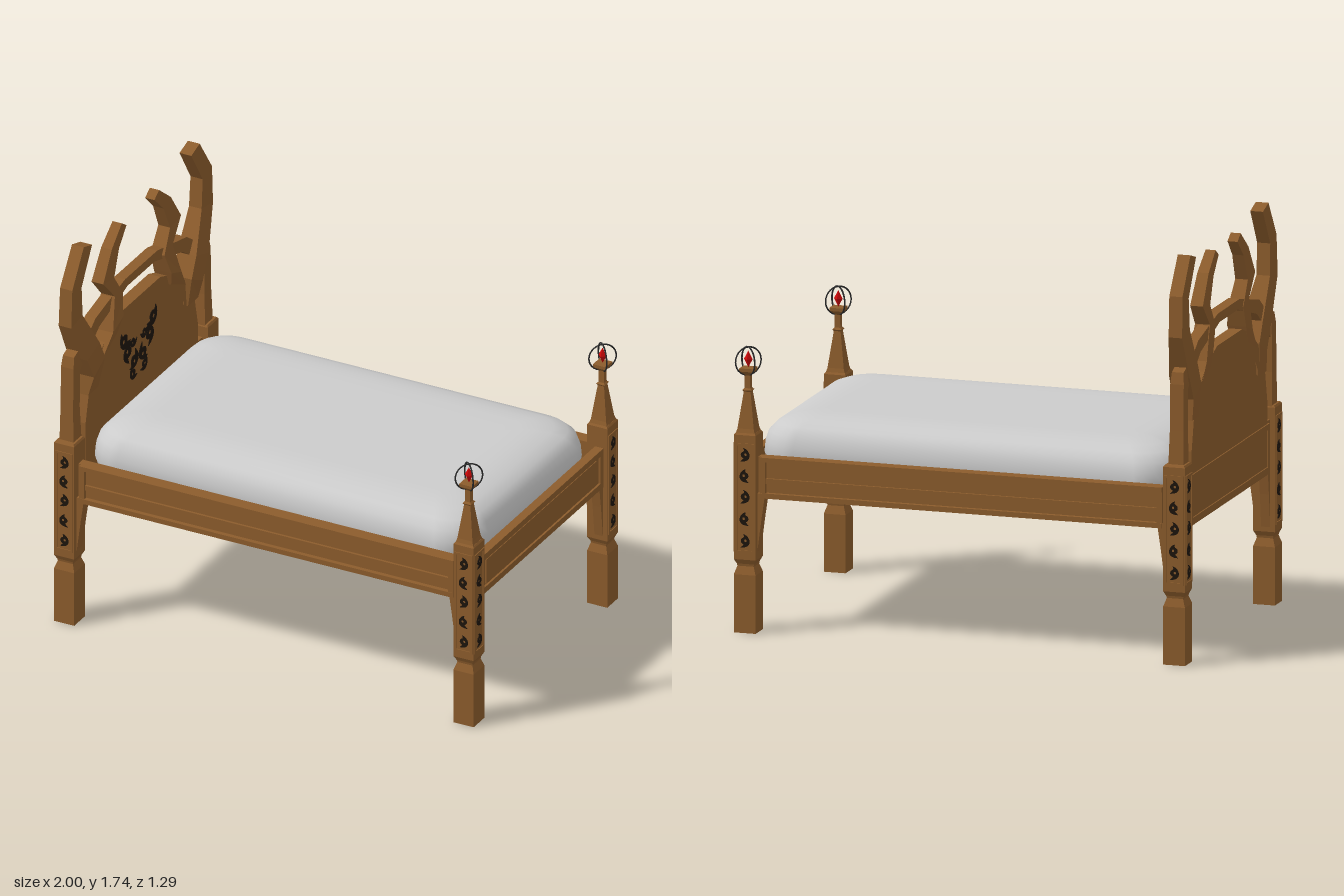
import * as THREE from 'three';

const mat = (color, flatShading = true) => new THREE.MeshStandardMaterial({ color, flatShading });
const WOOD = mat(0x8c5c2c), DARK = mat(0x1c140c), RED = mat(0xcc0808), METAL = mat(0x2a2a2a, false);
const CLOTH = mat(0xcccccc, false);
const V2 = (p) => new THREE.Vector2(p[0], p[1]);

function add(parent, name, geo, material = WOOD, pos = [0, 0, 0]) {
  const mesh = new THREE.Mesh(geo, material);
  mesh.name = name;
  mesh.position.set(...pos);
  parent.add(mesh);
  return mesh;
}

// Box given by its min and max on each axis
function box(parent, name, x0, x1, y0, y1, z0, z1) {
  return add(parent, name, new THREE.BoxGeometry(x1 - x0, y1 - y0, z1 - z0), WOOD,
    [(x0 + x1) / 2, (y0 + y1) / 2, (z0 + z1) / 2]);
}

const extrude = (shape, depth) => new THREE.ExtrudeGeometry(shape, { depth, bevelEnabled: false, curveSegments: 5 });

// Outline in the z-y plane, extruded from x0 to x1
function slabX(points, x0, x1, hole) {
  const shape = new THREE.Shape(points.map(([z, y]) => new THREE.Vector2(-z, y)));
  if (hole) shape.holes.push(new THREE.Path(hole.map(([z, y]) => new THREE.Vector2(-z, y))));
  return extrude(shape, x1 - x0).rotateY(Math.PI / 2).translate(x0, 0, 0);
}

const mirrored = (half) => [...half, ...half.slice().reverse().map(([z, y]) => [-z, y])];

// Flat rectangular border facing +z
function border(w, h, t, depth) {
  const rect = (a, b) => [[-a, -b], [a, -b], [a, b], [-a, b]].map(V2);
  const shape = new THREE.Shape(rect(w / 2, h / 2));
  shape.holes.push(new THREE.Path(rect(w / 2 - t, h / 2 - t)));
  return extrude(shape, depth);
}

// Square turned profile of [half width, y]
function squareTurning(profile) {
  const pts = profile.map(([h, y]) => new THREE.Vector2(h * Math.SQRT2, y));
  return new THREE.LatheGeometry(pts, 4, Math.PI / 4);
}

// Skin rings of equal length, closing both ends with a fan
function loft(rings, flip = false) {
  const n = rings[0].length, pos = rings.flat(2), idx = [];
  const tri = (a, b, c) => (flip ? idx.push(a, c, b) : idx.push(a, b, c));
  for (let r = 0; r < rings.length - 1; r++) for (let i = 0; i < n; i++) {
    const a = r * n + i, b = r * n + (i + 1) % n;
    tri(a, b, b + n);
    tri(a, b + n, a + n);
  }
  const last = (rings.length - 1) * n;
  for (let i = 1; i < n - 1; i++) {
    tri(0, i + 1, i);
    tri(last, last + i, last + i + 1);
  }
  const geo = new THREE.BufferGeometry();
  geo.setAttribute('position', new THREE.Float32BufferAttribute(pos, 3));
  geo.setIndex(idx);
  geo.computeVertexNormals();
  return geo;
}

// Horn sections: outer z, y, inner z, y, back x, front x
const horn = (sections, s) => loft(sections.map(([zo, yo, zi, yi, xb, xf]) =>
  [[xb, yo, s * zo], [xf, yo, s * zo], [xf, yi, s * zi], [xb, yi, s * zi]]), s < 0);

// Curled leaf with a pierced eye
function leafShape(s) {
  const shape = new THREE.Shape();
  shape.moveTo(-0.018 * s, -0.028);
  shape.quadraticCurveTo(0.026 * s, -0.028, 0.021 * s, 0.004);
  shape.quadraticCurveTo(0.014 * s, 0.026, -0.006 * s, 0.03);
  shape.quadraticCurveTo(0.004 * s, 0.018, -0.012 * s, 0.012);
  shape.quadraticCurveTo(-0.024 * s, -0.004, -0.004 * s, -0.014);
  shape.closePath();
  const eye = new THREE.Path();
  eye.absarc(0.004 * s, 0.002, 0.006, 0, Math.PI * 2);
  shape.holes.push(eye);
  return shape;
}

function post(sx, sz) {
  const g = new THREE.Group();
  g.name = sx > 0 ? 'footPost' : 'headPost';
  g.position.set(sx * 0.948, 0, sz * 0.595);
  add(g, 'postBody', squareTurning([[0, 0], [0.048, 0], [0.048, 0.25], [0.036, 0.285], [0.038, 0.295],
    [0.048, 0.315], [0.048, 0.85], [0.042, 0.858], [0, 0.858]]));
  // Carved panels on the two outward faces
  for (const angle of [sz > 0 ? 0 : Math.PI, sx * Math.PI / 2]) {
    const face = new THREE.Group();
    face.name = 'carvedPanel';
    face.rotation.y = angle;
    add(face, 'panelBorder', border(0.084, 0.47, 0.01, 0.004), WOOD, [0, 0.58, 0.048]);
    [0.765, 0.675, 0.585, 0.49, 0.395].forEach((y, i) =>
      add(face, 'leafCarving', extrude(leafShape(i % 2 ? -1 : 1), 0.003), DARK, [0, y, 0.048]));
    g.add(face);
  }
  if (sx > 0) {
    // Spire, cap, gem and crossed rings
    add(g, 'spire', squareTurning([[0.042, 0.855], [0.036, 0.875], [0.015, 1.03], [0.02, 1.037], [0.013, 1.045],
      [0.012, 1.1], [0.03, 1.118], [0.03, 1.132], [0, 1.132]]));
    add(g, 'gem', new THREE.OctahedronGeometry(1), RED, [0, 1.168, 0]).scale.set(0.019, 0.036, 0.019);
    for (const a of [Math.PI / 4, -Math.PI / 4])
      add(g, 'ring', new THREE.TorusGeometry(0.06, 0.0035, 6, 28), METAL, [0, 1.16, 0]).rotation.y = a;
  }
  return g;
}

function headboard() {
  const g = new THREE.Group();
  g.name = 'headboard';
  // Arched panel and its stepped rim
  const outline = mirrored([[0.5, 0.57], [0.5, 0.89], [0.455, 1.09], [0.31, 1.215], [0.165, 1.27]]);
  const opening = mirrored([[0.405, 0.82], [0.375, 1.05], [0.31, 1.135], [0.13, 1.2]]);
  const inner = mirrored([[0.385, 0.84], [0.355, 1.04], [0.3, 1.115], [0.125, 1.18]]);
  add(g, 'archedPanel', slabX(outline, -0.962, -0.938));
  add(g, 'panelRim', slabX(outline, -0.978, -0.922, opening));
  add(g, 'panelBead', slabX(opening, -0.97, -0.93, inner));
  // Lower board with a raised border at the back
  box(g, 'lowerBoard', -0.975, -0.925, 0.57, 0.8, -0.56, 0.56);
  add(g, 'lowerBorder', border(1.04, 0.21, 0.025, 0.008), WOOD, [-0.975, 0.685, 0]).rotation.y = -Math.PI / 2;
  // Open arch over the panel
  const archOut = [[0.61, 1.18], [0.56, 1.235], [0.405, 1.345], [0.143, 1.405]];
  const archIn = [[0.555, 1.15], [0.53, 1.175], [0.373, 1.29], [0.12, 1.364]];
  add(g, 'arch', slabX([...mirrored(archOut), ...mirrored(archIn).reverse()], -0.975, -0.925));
  const bigHorn = [[0.49, 1.02, 0.4, 1.02, -0.978, -0.915], [0.485, 1.11, 0.385, 1.16, -0.982, -0.89],
    [0.54, 1.215, 0.43, 1.25, -0.982, -0.892], [0.631, 1.405, 0.53, 1.42, -0.98, -0.92],
    [0.622, 1.58, 0.539, 1.557, -0.978, -0.92], [0.516, 1.737, 0.442, 1.714, -0.978, -0.922]];
  const smallHorn = [[0.37, 1.14, 0.24, 1.2, -0.978, -0.91], [0.305, 1.235, 0.215, 1.27, -0.98, -0.895],
    [0.258, 1.382, 0.184, 1.364, -0.978, -0.912], [0.346, 1.479, 0.249, 1.465, -0.976, -0.92],
    [0.263, 1.604, 0.198, 1.58, -0.974, -0.924], [0.166, 1.682, 0.124, 1.654, -0.972, -0.928]];
  for (const s of [1, -1]) {
    const upright = [[0.62, 0.85, 0.55, 0.85, -0.982, -0.915], [0.615, 1.0, 0.556, 1.0, -0.98, -0.92],
      [0.61, 1.2, 0.552, 1.2, -0.98, -0.92], [0.6, 1.25, 0.56, 1.265, -0.976, -0.924]];
    add(g, 'upright', horn(upright, s));
    add(g, 'outerHorn', horn(bigHorn, s));
    add(g, 'innerHorn', horn(smallHorn, s));
    // Dark foliate carving, one half per side
    for (const [z, y, size, turn] of [[0.125, 1.1, 1.7, 0.7], [0.095, 1.03, 1.7, -0.4], [0.05, 1.06, 1.1, 1.2],
      [0.04, 0.97, 1.6, 2.4], [0.05, 0.91, 1.2, 0.6]]) {
      const leaf = extrude(leafShape(s), 0.003).scale(size, size, 1).rotateZ(-turn * s).rotateY(Math.PI / 2);
      add(g, 'foliateCarving', leaf, DARK, [-0.938, y, -s * z]);
    }
  }
  return g;
}

function frame() {
  const g = new THREE.Group();
  g.name = 'bedFrame';
  for (const s of [1, -1]) {
    // Side rail with mouldings
    const strip = (name, x, y0, y1, a, b) => box(g, name, -x, x, y0, y1, Math.min(s * a, s * b), Math.max(s * a, s * b));
    strip('sideRail', 0.905, 0.58, 0.755, 0.565, 0.605);
    strip('railTop', 0.885, 0.735, 0.755, 0.565, 0.625);
    strip('railBottom', 0.885, 0.58, 0.602, 0.565, 0.625);
    strip('railBead', 0.865, 0.642, 0.664, 0.6, 0.616);
    for (const x of [-1, 1])
      box(g, 'railEnd', x * 0.876 - 0.012, x * 0.876 + 0.012, 0.58, 0.755, s * 0.595 - 0.028, s * 0.595 + 0.028);
    // Tapered brackets beside each post
    for (const x of [1, -1]) {
      const side = new THREE.Shape([[0.905, 0.31], [0.905, 0.6], [0.865, 0.6], [0.88, 0.5]].map(([a, y]) => new THREE.Vector2(x * a, y)));
      add(g, 'sideBracket', extrude(side, 0.05).translate(0, 0, s * 0.595 - 0.025));
      const end = [[0.55, 0.31], [0.55, 0.6], [0.515, 0.58], [0.53, 0.48]].map(([z, y]) => [s * z, y]);
      add(g, 'endBracket', slabX(end, x * 0.955 - 0.02, x * 0.955 + 0.02));
    }
  }
  // Foot rail with a raised border and inner panel
  box(g, 'footRail', 0.938, 0.968, 0.57, 0.755, -0.56, 0.56);
  add(g, 'footBorder', border(1.1, 0.185, 0.028, 0.01), WOOD, [0.968, 0.6625, 0]).rotation.y = Math.PI / 2;
  add(g, 'footPanel', new THREE.BoxGeometry(0.008, 0.115, 0.98), WOOD, [0.971, 0.6625, 0]);
  // Slats under the mattress
  for (const x of [-0.55, 0.03, 0.61]) box(g, 'slat', x - 0.12, x + 0.12, 0.615, 0.665, -0.57, 0.57);
  return g;
}

// Rounded-rectangle rings, drawn in towards the top and bottom
function mattress() {
  const levels = [[0.2, 0.66], [0.06, 0.662], [0.015, 0.685], [0, 0.74], [0.004, 0.79], [0.018, 0.835],
    [0.05, 0.868], [0.1, 0.889], [0.16, 0.901], [0.22, 0.905], [0.3, 0.905]];
  const rings = levels.map(([inset, y]) => {
    const hx = 0.924 - inset, hz = 0.563 - inset, r = Math.max(0.17 - inset * 0.5, 0.05), ring = [];
    for (let q = 0; q < 4; q++) for (let k = 0; k <= 6; k++) {
      const a = (q + k / 6) * Math.PI / 2;
      const cx = q === 0 || q === 3 ? hx - r : r - hx, cz = q < 2 ? hz - r : r - hz;
      ring.push([0.011 + cx + r * Math.cos(a), y, cz + r * Math.sin(a)]);
    }
    return ring;
  });
  return loft(rings, true);
}

export function createModel() {
  const model = new THREE.Group();
  model.name = 'bed';
  for (const sx of [1, -1]) for (const sz of [1, -1]) model.add(post(sx, sz));
  model.add(headboard(), frame());
  add(model, 'mattress', mattress(), CLOTH);
  return model;
}
